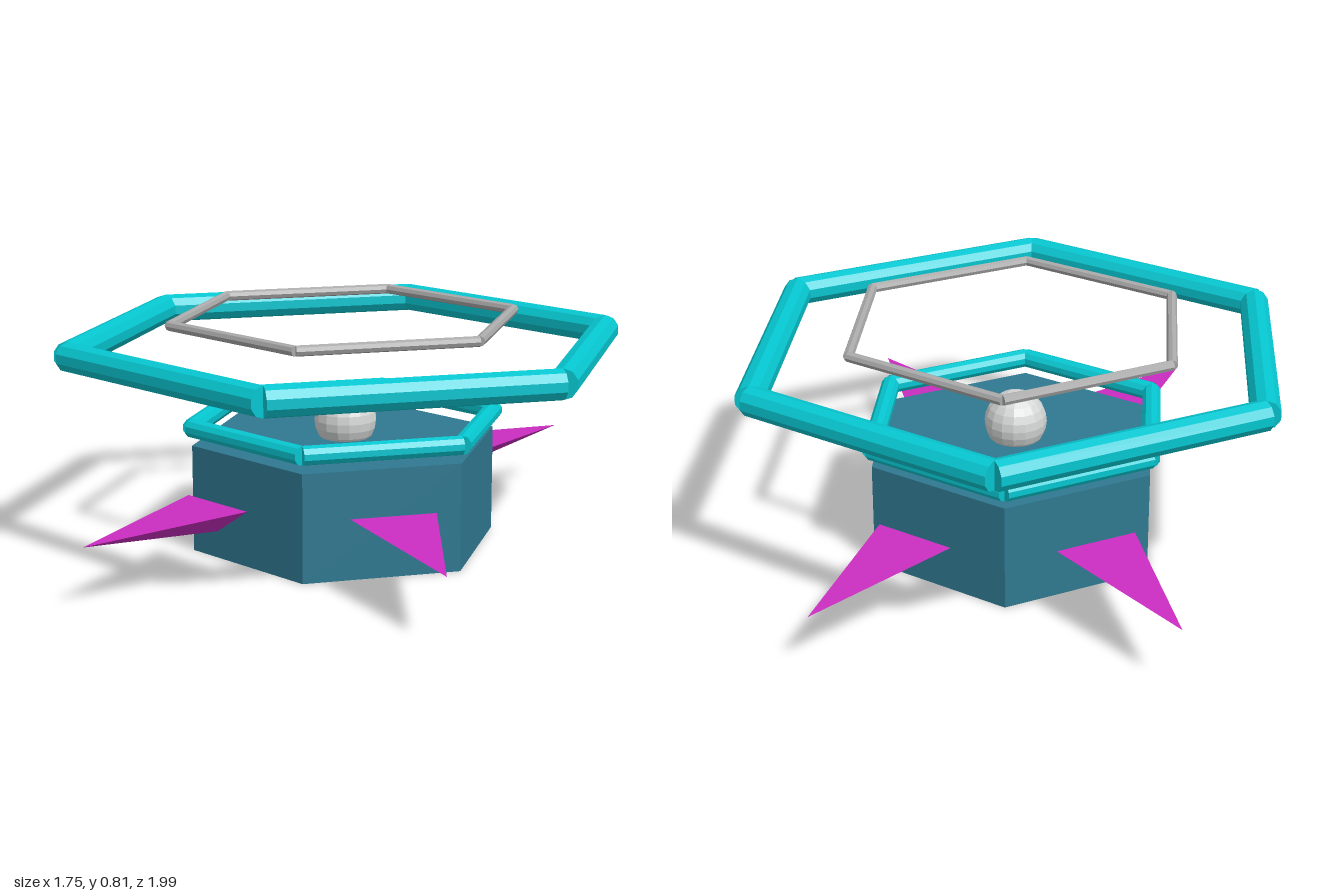
import * as THREE from 'three';

export function createModel() {
  const model = new THREE.Group();
  const material = (name, color) => {
    const m = new THREE.MeshStandardMaterial({ color, flatShading: true });
    m.name = name;
    return m;
  };
  const blue = material('slate blue', 0x2f7890);
  const cyan = material('bright cyan', 0x06c6d0);
  const magenta = material('magenta', 0xca2dc0);
  const silver = material('silver', 0xaaaaaa);
  const pale = material('pale grey', 0xd4d6d6);

  const add = (parent, name, geometry, mat) => {
    const mesh = new THREE.Mesh(geometry, mat);
    mesh.name = name;
    parent.add(mesh);
    return mesh;
  };

  // Hexagonal body with corners on the z axis
  add(model, 'body', new THREE.CylinderGeometry(0.54, 0.54, 0.37, 6).translate(0, 0.185, 0), blue);

  // Dome ball sunk into the top
  add(model, 'dome', new THREE.SphereGeometry(0.108, 16, 12).translate(0, 0.432, 0), pale);

  // Hexagonal ring of six straight capped bars
  const addRing = (name, radius, tube, y, sides, mat) => {
    const ring = new THREE.Group();
    ring.name = name;
    ring.position.y = y;
    const bar = new THREE.CylinderGeometry(tube, tube, radius, sides)
      .rotateZ(Math.PI / 2)
      .rotateX(Math.PI / 2)
      .translate(0, 0, radius * Math.cos(Math.PI / 6));
    for (let i = 0; i < 6; i++) {
      add(ring, 'ringBar', bar, mat).rotation.y = Math.PI / 6 + (i * Math.PI) / 3;
    }
    model.add(ring);
  };
  addRing('lowerRing', 0.54, 0.033, 0.432, 10, cyan);
  addRing('outerRing', 0.953, 0.051, 0.7, 10, cyan);
  addRing('upperRing', 0.609, 0.018, 0.788, 8, silver);

  // Four flattened three-sided spikes pointing outward
  const spike = new THREE.ConeGeometry(0.167, 0.556, 3)
    .rotateX(Math.PI / 2)
    .scale(1, 0.38, 1)
    .translate(0, 0.214, 0.873);
  for (const degrees of [30, 150, 210, 330]) {
    add(model, 'spike', spike, magenta).rotation.y = THREE.MathUtils.degToRad(degrees);
  }

  return model;
}
